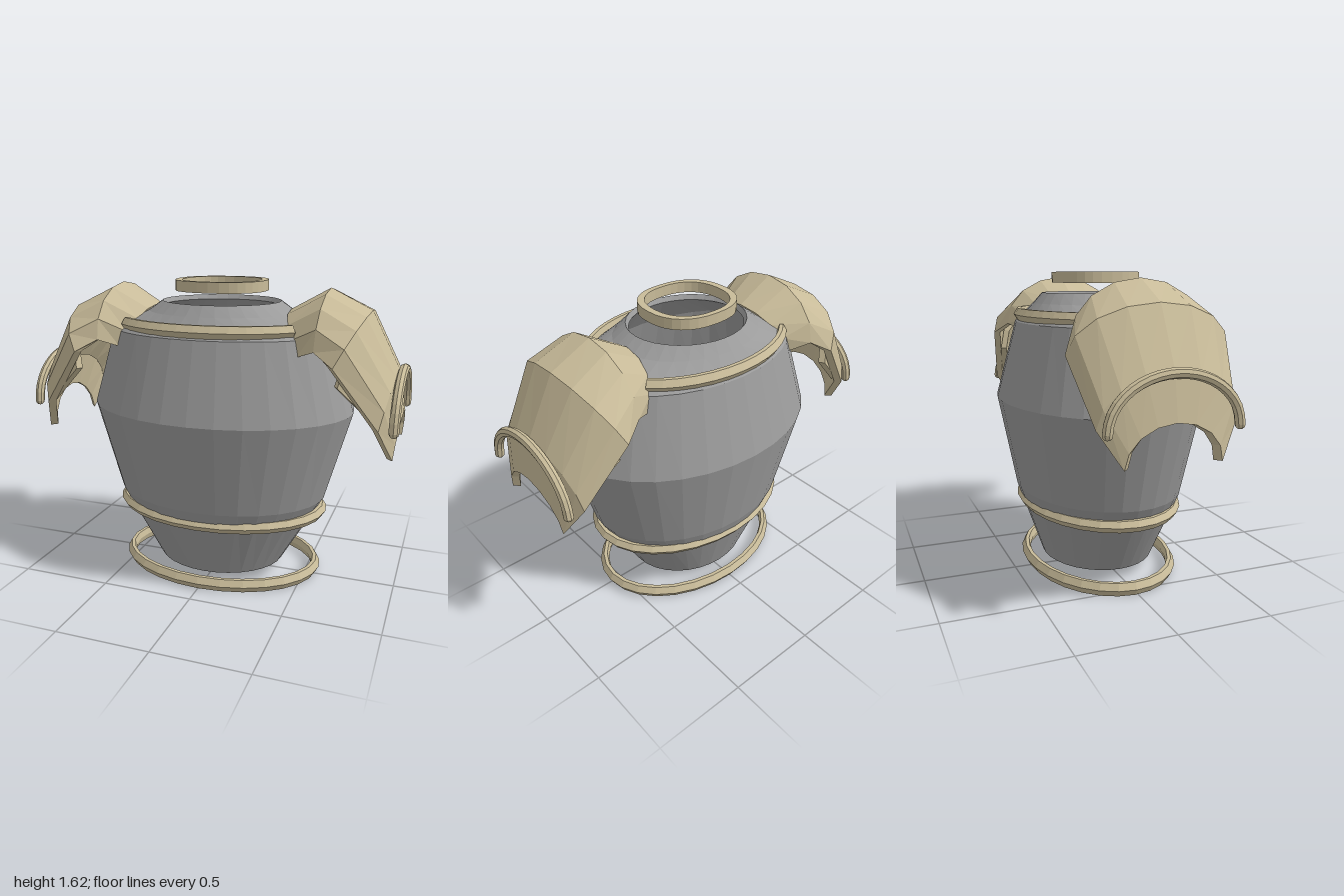
import * as THREE from 'three';

const CZ = -0.015; // body axis sits slightly behind the centre

const steel = new THREE.MeshStandardMaterial({ color: 0x9b9b9b, flatShading: true });
steel.name = 'steel grey';
const trim = new THREE.MeshStandardMaterial({ color: 0xc8bb99, flatShading: true });
trim.name = 'sand trim';

// Closed solid through rows of points; every row is a closed loop.
function loft(rows, closed) {
  const tris = [];
  const cross = new THREE.Vector3();
  let volume = 0;
  const add = (a, b, c) => {
    const u = b.clone().sub(a), v = c.clone().sub(a);
    if (u.cross(v).length() < 1e-8) return;
    tris.push([a, b, c]);
    volume += a.dot(cross.crossVectors(b, c));
  };
  const m = rows[0].length;
  for (let i = 0; i < rows.length - (closed ? 0 : 1); i++) {
    const p = rows[i], q = rows[(i + 1) % rows.length];
    for (let j = 0; j < m; j++) {
      const k = (j + 1) % m;
      add(p[j], q[j], q[k]);
      add(p[j], q[k], p[k]);
    }
  }
  const out = [];
  for (const [a, b, c] of tris) {
    for (const v of volume < 0 ? [a, c, b] : [a, b, c]) out.push(v.x, v.y, v.z);
  }
  const g = new THREE.BufferGeometry();
  g.setAttribute('position', new THREE.Float32BufferAttribute(out, 3));
  g.computeVertexNormals();
  return g;
}

function mesh(name, geometry, material) {
  const m = new THREE.Mesh(geometry, material);
  m.name = name;
  return m;
}

// Sweep a profile of [rx, rz, y] around the axis; power below 1 squares the oval.
function oval(profile, segments, { from = 0, to = Math.PI * 2, cz = CZ, power = 1 } = {}) {
  const full = to - from > 6.28;
  const bend = (v) => Math.sign(v) * Math.abs(v) ** power;
  const rows = [];
  for (let i = 0; i < segments + (full ? 0 : 1); i++) {
    const a = from + ((to - from) * i) / segments;
    rows.push(profile.map(([rx, rz, y]) =>
      new THREE.Vector3(rx * bend(Math.cos(a)), y, cz + rz * bend(Math.sin(a)))));
  }
  if (!full) {
    const flat = (row) => {
      const c = row.reduce((s, p) => s.add(p), new THREE.Vector3()).divideScalar(row.length);
      return row.map(() => c);
    };
    rows.unshift(flat(rows[0]));
    rows.push(flat(rows[rows.length - 1]));
  }
  return loft(rows, full);
}

// Bevelled band section
const band = (rx, rz, y0, y1, t) => {
  const mid = (y0 + y1) / 2, b = 0.02;
  return [
    [rx - b, rz - b, y0], [rx, rz, mid], [rx - b, rz - b, y1],
    [rx - t, rz - t, y1], [rx - t - 0.01, rz - t - 0.01, mid], [rx - t, rz - t, y0],
  ];
};

// Arched shell; stations are [crestX, crestY, lowX, lowY, halfWidth, insetX, insetY]
function archShell(stations, side, n = 8, wall = 0.03) {
  const rows = stations.map(([cx, cy, lx, ly, w, ix, iy]) => {
    const arc = (inner) => Array.from({ length: n + 1 }, (_, i) => {
      const t = (Math.PI * i) / n, s = Math.sin(t);
      const x = lx + (cx - lx) * s + inner * ix;
      const y = ly + (cy - ly) * s + inner * iy * s;
      return new THREE.Vector3(side * x, y, CZ - 0.005 + (w - inner * wall) * Math.cos(t));
    });
    return [...arc(0), ...arc(1).reverse()];
  });
  // fold the end loops onto their inner half to close the rims
  const fold = (row) => row.map((p, i) => (i <= n ? row[2 * n + 1 - i] : p));
  return loft([fold(rows[0]), ...rows, fold(rows[rows.length - 1])], false);
}

function shoulder(side) {
  const g = new THREE.Group();
  g.name = side > 0 ? 'leftShoulderGuard' : 'rightShoulderGuard';
  g.add(mesh('shoulderPlate', archShell([
    [0.38, 1.48, 0.48, 1.28, 0.28, 0.01, -0.04],
    [0.585, 1.595, 0.575, 1.32, 0.345, 0, -0.04],
    [0.80, 1.49, 0.68, 1.26, 0.405, -0.025, -0.03],
    [0.95, 1.2, 0.90, 0.96, 0.345, -0.03, -0.01],
    [0.985, 0.985, 0.965, 0.79, 0.24, -0.03, 0],
  ], side), trim));

  // lining that hangs a little below the plate's edge
  g.add(mesh('shoulderLining', archShell([
    [0.765, 1.45, 0.70, 1.16, 0.36, -0.02, -0.02],
    [0.915, 1.17, 0.915, 0.95, 0.305, -0.02, -0.01],
  ], side), trim));

  // rolled rim over the arm opening
  const pts = Array.from({ length: 13 }, (_, i) => {
    const t = (Math.PI * i) / 12;
    return new THREE.Vector3(side * 0.97, 0.955 + 0.245 * Math.sin(t), CZ - 0.005 + 0.32 * Math.cos(t));
  });
  const curve = new THREE.CatmullRomCurve3(pts);
  g.add(mesh('armRim', new THREE.TubeGeometry(curve, 20, 0.025, 8), trim));
  for (const p of [pts[0], pts[12]]) {
    const end = mesh('armRimEnd', new THREE.SphereGeometry(0.025, 8, 6), trim);
    end.position.copy(p);
    g.add(end);
  }
  return g;
}

export function createModel() {
  const model = new THREE.Group();
  model.name = 'torsoArmour';

  // hollow torso shell, outside upward then inside downward
  model.add(mesh('torsoShell', oval([
    [0.36, 0.305, 0.06], [0.592, 0.44, 0.46], [0.73, 0.535, 0.95],
    [0.61, 0.425, 1.36], [0.57, 0.395, 1.39], [0.40, 0.335, 1.46], [0.32, 0.29, 1.515],
    [0.305, 0.275, 1.49], [0.56, 0.37, 1.35], [0.69, 0.495, 0.95],
    [0.55, 0.40, 0.47], [0.315, 0.26, 0.06],
  ], 32), steel));

  model.add(mesh('hemRing', oval(band(0.58, 0.415, 0, 0.07, 0.04), 28), trim));
  model.add(mesh('waistBelt', oval(band(0.605, 0.435, 0.35, 0.41, 0.06), 28), trim));

  // collar bands across chest and back
  const reach = 0.65;
  [['chestBand', 0], ['backBand', Math.PI]].forEach(([name, turn]) => {
    model.add(mesh(name, oval(band(0.59, 0.435, 1.365, 1.432, 0.04), 12,
      { from: turn + reach, to: turn + Math.PI - reach }), trim));
  });

  // floating neck ring
  model.add(mesh('neckRing', oval([
    [0.245, 0.225, 1.567], [0.245, 0.225, 1.623], [0.207, 0.196, 1.623], [0.207, 0.196, 1.567],
  ], 32, { cz: -0.02, power: 0.85 }), trim));

  model.add(shoulder(1), shoulder(-1));
  return model;
}
